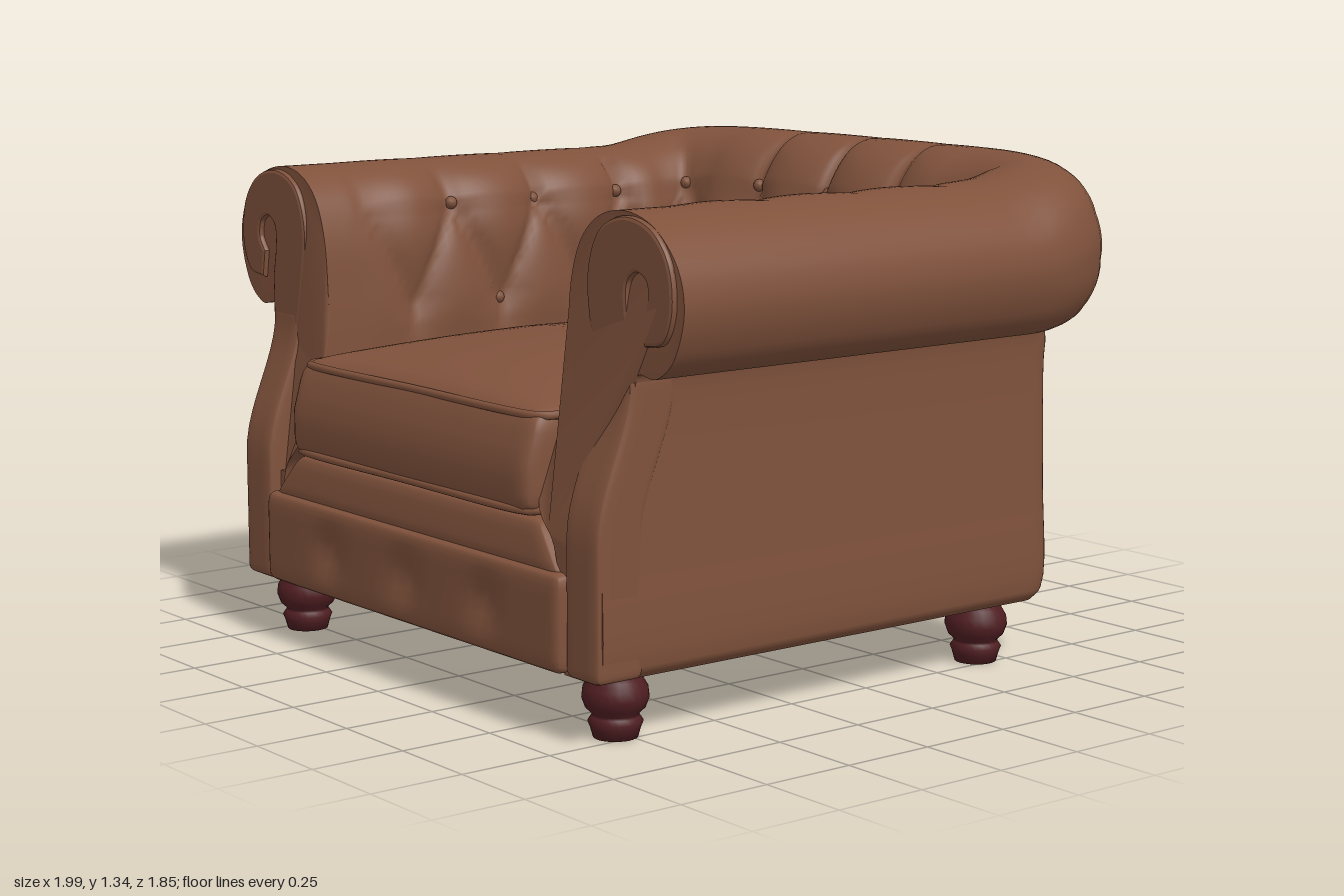
import * as THREE from 'three';
import { mergeVertices } from 'three/addons/utils/BufferGeometryUtils.js';

const { lerp, smoothstep } = THREE.MathUtils;
const NS = 60, NC = 14, NB = 32, HALF = NS + NC + NB; // stations: side, corner, half of back
const ROWS = 6; // rows between profile points

// Upholstered shell profile: half width, back z, corner radius, height
const PROFILE = [
  [0.66, -0.30, 0.05, 0.16], [0.62, -0.34, 0.05, 0.47], [0.55, -0.37, 0.06, 0.56],
  [0.54, -0.38, 0.06, 0.78], [0.545, -0.41, 0.08, 0.95], [0.56, -0.45, 0.10, 1.10],
  [0.60, -0.50, 0.14, 1.20], [0.67, -0.57, 0.20, 1.26], [0.78, -0.69, 0.30, 1.28],
  [0.90, -0.83, 0.40, 1.24], [0.98, -0.91, 0.48, 1.15], [0.997, -0.928, 0.50, 1.06],
  [0.96, -0.88, 0.46, 0.95], [0.89, -0.77, 0.36, 0.895], [0.82, -0.66, 0.14, 0.895],
  [0.81, -0.65, 0.12, 0.85], [0.81, -0.65, 0.12, 0.50], [0.81, -0.65, 0.12, 0.19],
  [0.79, -0.63, 0.11, 0.16],
];

// Arm fronts lean back between seat and roll
const frontZ = (y) => lerp(0.89, 0.79, smoothstep(y, 0.5, 0.88));

// Tuft column number along the side walls
const sideColumn = (z) => (z < -0.23 ? 2 + (z + 0.42) / 0.19 : 3 + (z + 0.23) / 0.295);

// Point on the +x half of a rounded U, from arm front (k = 0) to centre back
function halfU(w, zb, r, zf, k) {
  if (k <= NS) {
    const z = lerp(zf, zb + r, k / NS);
    return { x: w, z, nx: -1, nz: 0, q: sideColumn(z) };
  }
  const a = Math.min(1, (k - NS) / NC) * Math.PI / 2;
  const f = Math.max(0, (k - NS - NC) / NB);
  const x = f > 0 ? (w - r) * (1 - f) : w - r + r * Math.cos(a);
  const bulge = 0.11 * r * Math.min(1.6, (x / 0.6) ** 2) * Math.sin(a);
  const q = f > 0 ? x / 0.28 : lerp(sideColumn(zb + r), (w - r) / 0.28, a * 2 / Math.PI);
  return { x, z: zb + r - r * Math.sin(a) + bulge, nx: -Math.cos(a), nz: Math.sin(a), q };
}

// Diamond tufting: 0 in the creases, 1 on the cushions
function puff(q, v) {
  const s = (t) => Math.abs(Math.sin(Math.PI * t));
  if (v < 0) return s(q) ** 0.5;
  if (v > 1) return s(q + 0.5) ** 0.5;
  return (s(q - v / 2) * s(q + v / 2)) ** 0.4;
}

// Sweep the profile round arms and back
function buildShell() {
  const curve = new THREE.CatmullRomCurve3(PROFILE.map(([w, zb, , y]) => new THREE.Vector3(w, y, zb)));
  const last = PROFILE.length - 1, rows = last * ROWS, cols = 2 * HALF;
  const pos = [], index = [], tufts = [];
  for (let i = 0; i <= rows; i++) {
    const p = i / ROWS, b = Math.min(last - 1, Math.floor(p));
    const c = curve.getPoint(p / last);
    const r = lerp(PROFILE[b][2], PROFILE[b + 1][2], p - b);
    const mask = smoothstep(p, 2.8, 3.7) * (1 - smoothstep(p, 6.2, 8.6));
    const v = p > 7 ? -1 : (1.17 - c.y) / 0.28;
    for (let j = 0; j <= cols; j++) {
      const side = j <= HALF ? 1 : -1;
      const u = halfU(c.x, c.z, r, frontZ(c.y), side > 0 ? j : cols - j);
      const m = mask * (1 - smoothstep(u.q, 5.4, 6.2));
      const h = puff(u.q, v);
      const d = m * (0.05 * h - 0.035);
      const rise = 0.055 * smoothstep(c.y, 0.98, 1.24) * (1 - smoothstep(u.z, -0.65, -0.3));
      pos.push(side * (u.x + u.nx * d), c.y + rise + (v < 0 ? m * 0.02 * (h - 0.5) : 0), u.z + u.nz * d);
      if (p > 3 && p < 6.5) tufts.push({ q: side * u.q, v, n: pos.length - 3 });
      if (i < rows && j < cols) {
        const a = i * (cols + 1) + j, e = a + cols + 1;
        index.push(a, e, a + 1, a + 1, e, e + 1);
      }
    }
  }
  const geometry = new THREE.BufferGeometry();
  geometry.setAttribute('position', new THREE.Float32BufferAttribute(pos, 3));
  geometry.setIndex(index);
  geometry.computeVertexNormals();

  // Flat end of each arm
  const caps = [0, cols].map((j) => {
    const pts = [];
    for (let i = 0; i <= rows; i++) {
      const n = 3 * (i * (cols + 1) + j);
      pts.push(new THREE.Vector2(pos[n], pos[n + 1]));
    }
    const cap = new THREE.ShapeGeometry(new THREE.Shape(pts));
    const cp = cap.attributes.position;
    for (let i = 0; i < cp.count; i++) cp.setZ(i, frontZ(cp.getY(i)));
    cap.computeVertexNormals();
    return cap;
  });

  // Buttons sit at the diamond corners
  const buttons = [];
  for (let q = -5; q <= 5; q += 0.5) {
    const v = Number.isInteger(q) ? 0 : 1;
    let best = tufts[0], err = Infinity;
    for (const t of tufts) {
      const e = (t.q - q) ** 2 + (t.v - v) ** 2;
      if (e < err) { err = e; best = t; }
    }
    buttons.push(new THREE.Vector3(pos[best.n], pos[best.n + 1], pos[best.n + 2]));
  }
  return { geometry, caps, buttons };
}

// Soft-edged box; shape(p) may move each vertex further
function softBox(w, h, d, r, seg, shape) {
  let g = new THREE.BoxGeometry(2, 2, 2, ...seg);
  g.deleteAttribute('uv');
  g.deleteAttribute('normal');
  g = mergeVertices(g);
  const half = [w / 2, h / 2, d / 2], pa = g.attributes.position;
  const v = new THREE.Vector3(), core = new THREE.Vector3();
  for (let i = 0; i < pa.count; i++) {
    v.fromBufferAttribute(pa, i);
    const c = v.toArray().map((t, k) => half[k] * Math.sin(t * Math.PI / 2));
    core.fromArray(c.map((t, k) => THREE.MathUtils.clamp(t, r - half[k], half[k] - r)));
    v.fromArray(c).sub(core).setLength(r).add(core);
    if (shape) shape(v);
    pa.setXYZ(i, v.x, v.y, v.z);
  }
  g.computeVertexNormals();
  return g;
}

export function createModel() {
  const leather = new THREE.MeshStandardMaterial({ color: 0x80523c });
  leather.name = 'brown leather';
  const wood = new THREE.MeshStandardMaterial({ color: 0x501e22 });
  wood.name = 'dark red wood';
  const model = new THREE.Group();
  model.name = 'armchair';
  const add = (name, geometry, material, x = 0, y = 0, z = 0, parent = model) => {
    const mesh = new THREE.Mesh(geometry, material);
    mesh.name = name;
    mesh.position.set(x, y, z);
    parent.add(mesh);
    return mesh;
  };

  // Arms and back with rolled top
  const shell = buildShell();
  add('armsAndBack', shell.geometry, leather);
  shell.caps.forEach((cap) => add('armEnd', cap, leather));
  const buttonGeo = new THREE.SphereGeometry(0.018, 10, 8);
  shell.buttons.forEach((b) => add('tuftButton', buttonGeo, leather, b.x, b.y, b.z));

  // Base under the seat, closed below
  const outline = [];
  for (let j = 0; j <= 2 * HALF; j++) {
    const s = j <= HALF ? 1 : -1;
    const u = halfU(0.79, -0.63, 0.11, 0.87, s > 0 ? j : 2 * HALF - j);
    outline.push(new THREE.Vector2(s * u.x, -u.z));
  }
  const baseGeo = new THREE.ExtrudeGeometry(new THREE.Shape(outline), { depth: 0.3, bevelEnabled: false });
  baseGeo.rotateX(-Math.PI / 2);
  add('base', baseGeo, leather, 0, 0.16, 0);

  // Tufted front panel and the sloped rail above it
  add('frontPanel', softBox(1.36, 0.25, 0.12, 0.03, [48, 12, 4], (p) => {
    if (p.z < 0) return;
    for (const x of [-0.36, 0, 0.36]) p.z -= 0.025 * Math.exp(-((p.x - x) ** 2 + p.y ** 2) / 0.003);
  }), leather, 0, 0.287, 0.863);
  add('frontRail', softBox(1.34, 0.13, 0.3, 0.03, [20, 8, 8], (p) => {
    p.x *= 0.91 - 1.3 * p.y;
    p.z -= 0.15 * (p.y + 0.065);
  }), leather, 0, 0.46, 0.76);

  // Seat cushion with a crowned top and piped edges
  add('seatCushion', softBox(1.1, 0.25, 1.29, 0.045, [28, 10, 28], (p) => {
    const crown = Math.max(0, (1 - (p.x / 0.55) ** 2) * (1 - (p.z / 0.645) ** 2));
    if (p.y > 0) p.y += 0.085 * crown ** 0.6;
    if (p.z > 0) p.z -= 0.035 * Math.max(0, p.y / 0.125);
  }), leather, 0, 0.655, 0.275);
  for (const [y, z] of [[0.77, 0.875], [0.54, 0.905]]) {
    const pipe = new THREE.CatmullRomCurve3([
      [-0.545, 0.3], [-0.545, z - 0.06], [-0.53, z - 0.015], [-0.48, z], [0, z],
      [0.48, z], [0.53, z - 0.015], [0.545, z - 0.06], [0.545, 0.3],
    ].map(([px, pz]) => new THREE.Vector3(px, y, pz)));
    add('cushionPiping', new THREE.TubeGeometry(pipe, 60, 0.011, 8), leather);
  }

  // Arm facings: a leaning post that curls into a scroll
  const v2 = (list) => list.map(([x, y]) => new THREE.Vector2(x, y));
  const scroll = new THREE.Shape();
  scroll.moveTo(0.8, 0.86);
  scroll.lineTo(0.8, 0.98);
  scroll.splineThru(v2([[0.785, 1.06], [0.79, 1.12], [0.83, 1.15], [0.875, 1.13], [0.885, 1.08], [0.86, 1.04]]));
  scroll.lineTo(0.87, 0.98);
  scroll.splineThru(v2([[0.93, 0.995], [0.96, 1.07], [0.945, 1.17], [0.88, 1.24], [0.78, 1.26],
    [0.69, 1.22], [0.65, 1.12], [0.66, 1.0], [0.69, 0.86]]));
  const scrollGeo = new THREE.ExtrudeGeometry(scroll, {
    depth: 0.03, curveSegments: 24, bevelSize: 0.01, bevelThickness: 0.01, bevelSegments: 2,
  });
  const postGeo = softBox(0.135, 0.74, 0.14, 0.02, [8, 30, 8], (p) => {
    p.z += frontZ(p.y + 0.53) - 0.055;
  });
  for (const s of [1, -1]) {
    const facing = new THREE.Group();
    facing.name = s > 0 ? 'leftArmFacing' : 'rightArmFacing';
    facing.scale.x = s;
    model.add(facing);
    add('scroll', scrollGeo, leather, 0, 0, 0.765, facing);
    add('post', postGeo, leather, 0.746, 0.53, 0, facing);
  }

  // Turned bun feet
  const footGeo = new THREE.LatheGeometry(v2([
    [0, 0], [0.055, 0], [0.062, 0.025], [0.068, 0.04], [0.06, 0.052], [0.056, 0.058], [0.074, 0.075],
    [0.083, 0.1], [0.08, 0.125], [0.068, 0.145], [0.06, 0.165], [0, 0.165],
  ]), 24);
  for (const x of [-0.71, 0.71]) for (const z of [0.775, -0.425]) add('foot', footGeo, wood, x, 0, z);

  return model;
}
